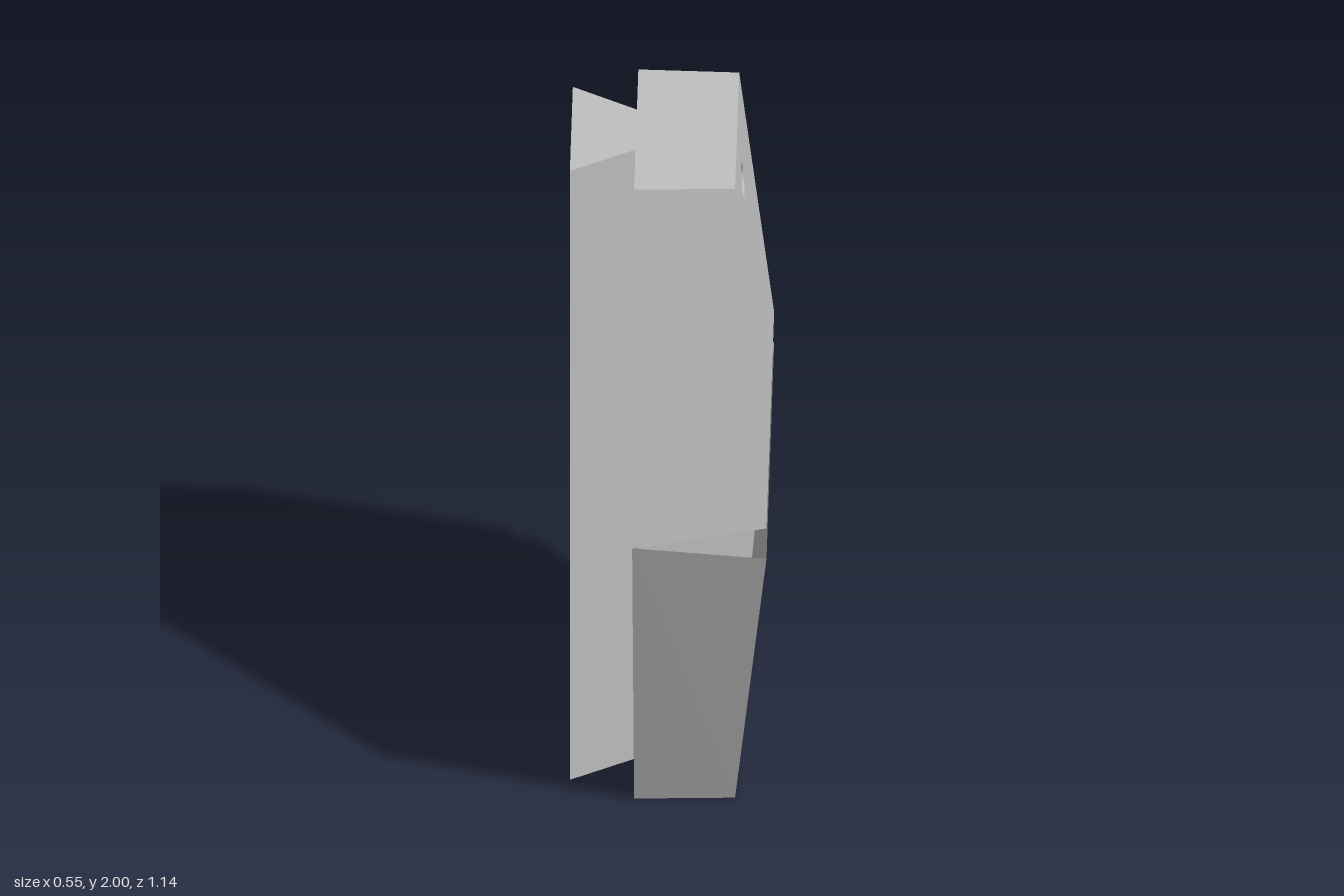
import * as THREE from 'three';

const V = (x, y, z) => new THREE.Vector3(x, y, z);

// Cross-section corners as [x, z]: at the narrow end and at the wide waist
const END = [[0.177, -0.29], [0.177, 0.29], [-0.1, 0.3], [-0.1, 0.1],
  [-0.278, 0.21], [-0.278, -0.21], [-0.1, -0.1], [-0.1, -0.3]];
const WAIST = [[0.268, -0.54], [0.268, 0.54], [-0.1, 0.57], [-0.1, 0.1],
  [-0.278, 0.21], [-0.278, -0.21], [-0.1, -0.1], [-0.1, -0.57]];
const LIP = 1.05;   // height of the slot lip on the sloped face
const HOLE_R = 0.047;
const HOLE_SIDES = 32;

// x of the sloped face at a height
const slopeX = y => 0.268 + (0.177 - 0.268) * (y - LIP) / (2 - LIP);

// Circle in (z, y) around a hole centre
function circle(cy) {
  const pts = [];
  for (let i = 0; i < HOLE_SIDES; i++) {
    const a = i / HOLE_SIDES * Math.PI * 2;
    pts.push(new THREE.Vector2(Math.cos(a) * HOLE_R, cy + Math.sin(a) * HOLE_R));
  }
  return pts;
}

// Flat panel from a 2D outline, mapped into space
function panel(outline, hole, map, reverse) {
  const shape = new THREE.Shape(outline.map(p => new THREE.Vector2(p[0], p[1])));
  if (hole) shape.holes.push(new THREE.Path(hole));
  const pos = new THREE.ShapeGeometry(shape).toNonIndexed().attributes.position;
  const out = [];
  for (let i = 0; i < pos.count; i += 3) {
    const [a, b, c] = [0, 1, 2].map(k => map(pos.getX(i + k), pos.getY(i + k)));
    out.push(...(reverse ? [a, c, b] : [a, b, c]));
  }
  return out;
}

const quad = (a, b, c, d) => [a, b, c, a, c, d];

export function createModel() {
  const model = new THREE.Group();
  model.name = 'hollowDovetailBlock';
  const grey = new THREE.MeshStandardMaterial({ color: 0xc0c0c0, side: THREE.DoubleSide });
  grey.name = 'plainGrey';

  // Adds a part, mirrored about the waist for the lower half
  function add(group, name, tris, lower, smooth) {
    const pts = [];
    for (let i = 0; i < tris.length; i += 3) {
      const [a, b, c] = tris.slice(i, i + 3);
      pts.push(...(lower ? [a, c, b].map(p => V(p.x, 2 - p.y, p.z)) : [a, b, c]));
    }
    const geo = new THREE.BufferGeometry().setFromPoints(pts);
    geo.computeVertexNormals();
    const mesh = new THREE.Mesh(geo, grey);
    mesh.name = name;
    group.add(mesh);
  }

  for (const lower of [false, true]) {
    const half = new THREE.Group();
    half.name = lower ? 'lowerHalf' : 'upperHalf';
    model.add(half);

    // Sloped face with its bolt hole
    const frontHole = circle(1.837);
    add(half, 'slopedFace', panel(
      [[-0.54, LIP], [0.54, LIP], [0.29, 2], [-0.29, 2]],
      frontHole, (z, y) => V(slopeX(y), y, z), true), lower);

    // Back of the dovetail with the other end of the hole
    const backHole = circle(1.88);
    add(half, 'dovetailBack', panel(
      [[-0.21, 1], [0.21, 1], [0.21, 2], [-0.21, 2]],
      backHole, (z, y) => V(-0.278, y, z), false), lower);

    // Side walls, back strips and dovetail flanks between end and waist
    const walls = [];
    for (let i = 0; i < 8; i++) {
      if (i === 0 || i === 4) continue;
      const j = (i + 1) % 8;
      const top = k => V(END[k][0], 2, END[k][1]);
      const mid = k => V(WAIST[k][0], k < 2 ? LIP : 1, WAIST[k][1]);
      walls.push(...quad(top(i), top(j), mid(j), mid(i)));
    }
    add(half, 'sideWalls', walls, lower);

    // End cap
    add(half, 'endCap', panel(END, null, (x, z) => V(x, 2, z), true), lower);

    // Bolt tube joining the two holes, facing its own axis
    const tube = [];
    for (let i = 0; i < HOLE_SIDES; i++) {
      const j = (i + 1) % HOLE_SIDES;
      const f = k => V(slopeX(frontHole[k].y), frontHole[k].y, frontHole[k].x);
      const b = k => V(-0.278, backHole[k].y, backHole[k].x);
      tube.push(...quad(f(i), f(j), b(j), b(i)));
    }
    add(half, 'boltTube', tube, lower);
  }
  return model;
}
